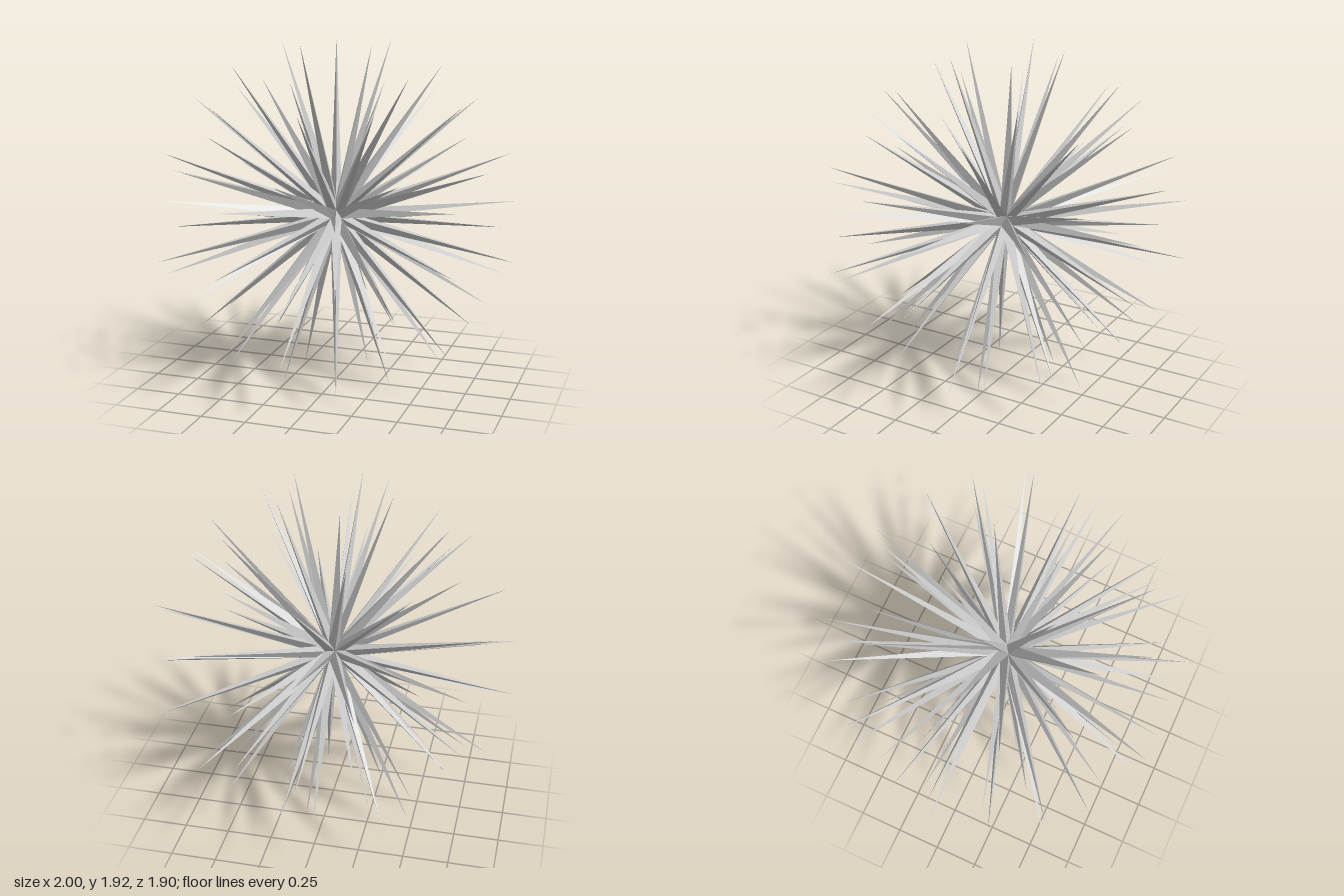
import * as THREE from 'three';

const CORE = 0.1;   // radius of the hidden core the spikes grow from
const REACH = 1.011; // distance of every spike tip from the centre

export function createModel() {
  const model = new THREE.Group();
  model.name = 'spikyBall';

  // Core: once-subdivided icosahedron (80 faces), turned so a corner points up
  const core = new THREE.IcosahedronGeometry(CORE, 1);
  core.rotateZ(-Math.atan(2 / (1 + Math.sqrt(5))));
  const pos = core.attributes.position;

  // Each core face is drawn out into one long three-sided spike
  const points = [];
  const face = new THREE.Triangle();
  const normal = new THREE.Vector3();
  const tip = new THREE.Vector3();
  for (let i = 0; i < pos.count; i += 3) {
    face.setFromAttributeAndIndices(pos, i, i + 1, i + 2);
    face.getNormal(normal);
    face.getMidpoint(tip).normalize().lerp(normal, 0.4).setLength(REACH);
    const corners = [face.a, face.b, face.c];
    for (let k = 0; k < 3; k++) {
      points.push(corners[k].clone(), corners[(k + 1) % 3].clone(), tip.clone());
    }
  }
  const geometry = new THREE.BufferGeometry().setFromPoints(points);
  geometry.computeVertexNormals();

  const spikes = new THREE.Mesh(
    geometry,
    new THREE.MeshStandardMaterial({ color: 0xcccccc, flatShading: true })
  );
  spikes.name = 'spikes';

  // Rest the lowest tips on the ground
  geometry.computeBoundingBox();
  spikes.position.y = -geometry.boundingBox.min.y;
  model.add(spikes);
  return model;
}
